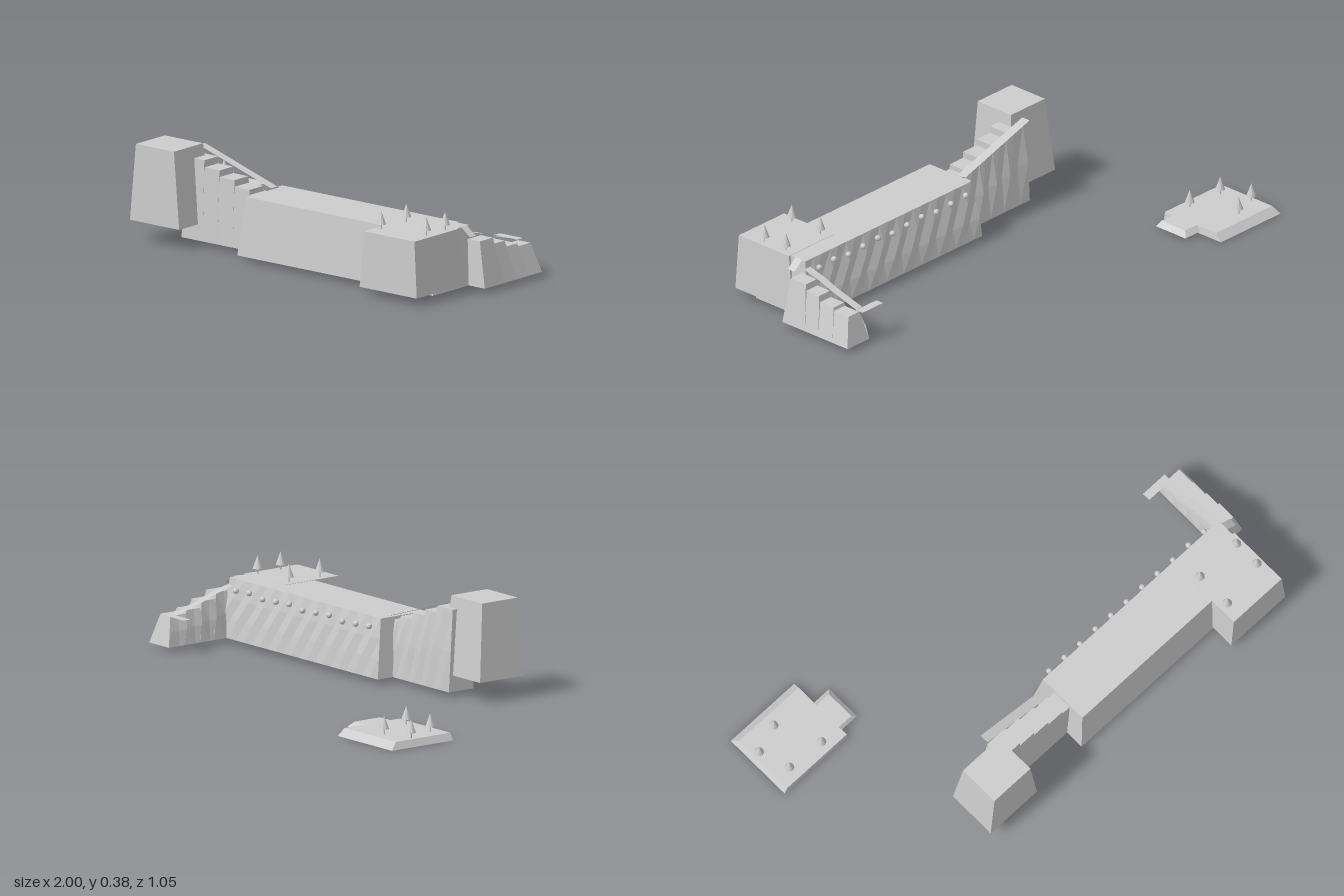
import * as THREE from 'three';

const stone = new THREE.MeshStandardMaterial({ color: 0xcccccc, flatShading: true, side: THREE.DoubleSide });
stone.name = 'pale grey stone';

function add(parent, name, geometry, x = 0, y = 0, z = 0) {
  const m = new THREE.Mesh(geometry, stone);
  m.name = name;
  m.position.set(x, y, z);
  parent.add(m);
  return m;
}

// Box with separate bottom and top rectangles, each [x0, x1, z0, z1]
function taperedBox(bottom, top, y0, y1) {
  const g = new THREE.BoxGeometry(1, 1, 1);
  const p = g.attributes.position;
  for (let i = 0; i < p.count; i++) {
    const up = p.getY(i) > 0;
    const r = up ? top : bottom;
    p.setXYZ(i, p.getX(i) < 0 ? r[0] : r[1], up ? y1 : y0, p.getZ(i) < 0 ? r[2] : r[3]);
  }
  g.computeVertexNormals();
  return g;
}

// Grid of facets between four corners, with alternate points pushed outward
function rockFace(bl, br, tl, tr, cols, rows, out) {
  const g = new THREE.PlaneGeometry(1, 1, cols, rows);
  const p = g.attributes.position;
  const V = (a) => new THREE.Vector3(...a);
  const [a, b, c, d, o] = [bl, br, tl, tr, out].map(V);
  for (let i = 0; i < p.count; i++) {
    const u = p.getX(i) + 0.5, v = p.getY(i) + 0.5;
    const point = a.clone().lerp(b, u).lerp(c.clone().lerp(d, u), v);
    const inside = v > 0.01 && v < 0.99;
    const odd = (Math.round(u * cols) + Math.round(v * rows)) % 2;
    if (inside && odd) point.add(o);
    p.setXYZ(i, point.x, point.y, point.z);
  }
  const flat = g.toNonIndexed();
  flat.computeVertexNormals();
  return flat;
}

// Flat strip through centre points, spread sideways by a half-width vector
function walkway(points, half) {
  const pos = [], index = [];
  points.forEach(([x, y, z], i) => {
    pos.push(x - half[0], y, z - half[1], x + half[0], y, z + half[1]);
    if (i) index.push(2 * i - 2, 2 * i - 1, 2 * i, 2 * i - 1, 2 * i + 1, 2 * i);
  });
  const g = new THREE.BufferGeometry();
  g.setAttribute('position', new THREE.Float32BufferAttribute(pos, 3));
  g.setIndex(index);
  g.computeVertexNormals();
  return g;
}

function addTree(parent, x, y, z) {
  const tree = new THREE.Group();
  tree.name = 'tree';
  tree.position.set(x, y, z);
  add(tree, 'trunk', new THREE.CylinderGeometry(0.003, 0.003, 0.025, 6), 0, 0.0125, 0);
  add(tree, 'foliage', new THREE.ConeGeometry(0.019, 0.052, 10), 0, 0.047, 0);
  parent.add(tree);
}

export function createModel() {
  const model = new THREE.Group();
  model.name = 'cliffs and island';

  // Low detached island
  const island = new THREE.Group();
  island.name = 'island';
  model.add(island);
  add(island, 'islandBase', taperedBox([-1, -0.665, -0.525, -0.228], [-0.985, -0.67, -0.495, -0.23], 0, 0.028));
  add(island, 'islandShelf', taperedBox([-0.68, -0.585, -0.415, -0.262], [-0.68, -0.605, -0.395, -0.272], 0.008, 0.028));
  for (const [x, z] of [[-0.965, -0.405], [-0.85, -0.445], [-0.925, -0.28], [-0.765, -0.27]]) addTree(island, x, 0.028, z);

  // Tall headland at the right-hand end
  add(model, 'tower', taperedBox([-0.565, -0.32, 0.247, 0.455], [-0.54, -0.35, 0.277, 0.45], 0.083, 0.385));

  // Long main cliff with a faceted back
  add(model, 'mainCliff', taperedBox([-0.055, 0.92, 0.152, 0.425], [-0.03, 0.9, 0.186, 0.403], 0.02, 0.25));
  add(model, 'mainCliffRockFace', rockFace([0.92, 0.02, 0.152], [-0.055, 0.02, 0.152],
    [0.9, 0.25, 0.186], [-0.03, 0.25, 0.186], 20, 3, [0, 0, -0.008]));
  for (let i = 0; i < 11; i++) {
    add(model, 'boulder', new THREE.IcosahedronGeometry(0.012, 1), 0.02 + i * 0.082, 0.214 - (i % 3) * 0.005, 0.168);
  }

  // Headland with trees in front of the main cliff
  add(model, 'frontHeadland', taperedBox([0.64, 0.925, 0.225, 0.527], [0.657, 0.91, 0.262, 0.523], 0.03, 0.251));
  for (const [x, z] of [[0.687, 0.305], [0.88, 0.305], [0.88, 0.417], [0.687, 0.455]]) addTree(model, x, 0.25, z);

  // Stepped cliff climbing to the tower
  const edges = [-0.39, -0.295, -0.22, -0.145, -0.07, -0.03];
  [0.338, 0.31, 0.284, 0.258, 0.238].forEach((y, i) => {
    const a = edges[i], b = edges[i + 1], low = i ? a : -0.4;
    add(model, 'towerStep', taperedBox([low, b, 0.225, 0.345], [a, b, 0.252, 0.335], 0.02, y));
    add(model, 'towerStepRockFace', rockFace([b, 0.02, 0.225], [low, 0.02, 0.225],
      [b, y, 0.252], [a, y, 0.252], 2, 2, [0, 0, -0.01]));
  });

  // Stepped cliff descending behind the left end
  const depths = [0.2, 0.122, 0.052, -0.022, -0.1];
  [0.198, 0.173, 0.148, 0.135].forEach((y, i) => {
    const front = depths[i], back = depths[i + 1];
    const lowBack = back - 0.028, lowFront = i ? front : 0.212;
    add(model, 'endStep', taperedBox([0.878, 1, lowBack, lowFront], [0.905, 0.965, back, front], 0.02, y));
    add(model, 'endStepRockFace', rockFace([0.878, 0.02, lowFront], [0.878, 0.02, lowBack],
      [0.905, y, front], [0.905, y, back], 2, 2, [-0.008, 0, 0]));
  });

  // Walkway: tower ramp, clifftop strip, bend, end ramp and lower landing
  const ramp = [];
  for (let i = 0; i <= 5; i++) ramp.push([-0.39 + i * 0.072, 0.368 - i * 0.0225, 0.236]);
  add(model, 'towerRamp', walkway(ramp, [0, 0.019]));
  const strip = [];
  for (let i = 0; i <= 8; i++) strip.push([-0.03 + i * 0.11, 0.254, 0.203]);
  add(model, 'clifftopWalkway', walkway(strip, [0, 0.016]));
  add(model, 'walkwayBend', walkway([[0.83, 0.254, 0.218], [0.9, 0.252, 0.218], [0.945, 0.218, 0.218]], [0, 0.017]));
  add(model, 'endRamp', walkway([[0.893, 0.245, 0.215], [0.893, 0.222, 0.187], [0.893, 0.202, 0.107],
    [0.893, 0.175, 0.03], [0.893, 0.142, -0.09]], [0.017, 0]));
  add(model, 'lowerLanding', walkway([[0.795, 0.14, -0.105], [0.91, 0.14, -0.105]], [0, 0.017]));

  return model;
}
